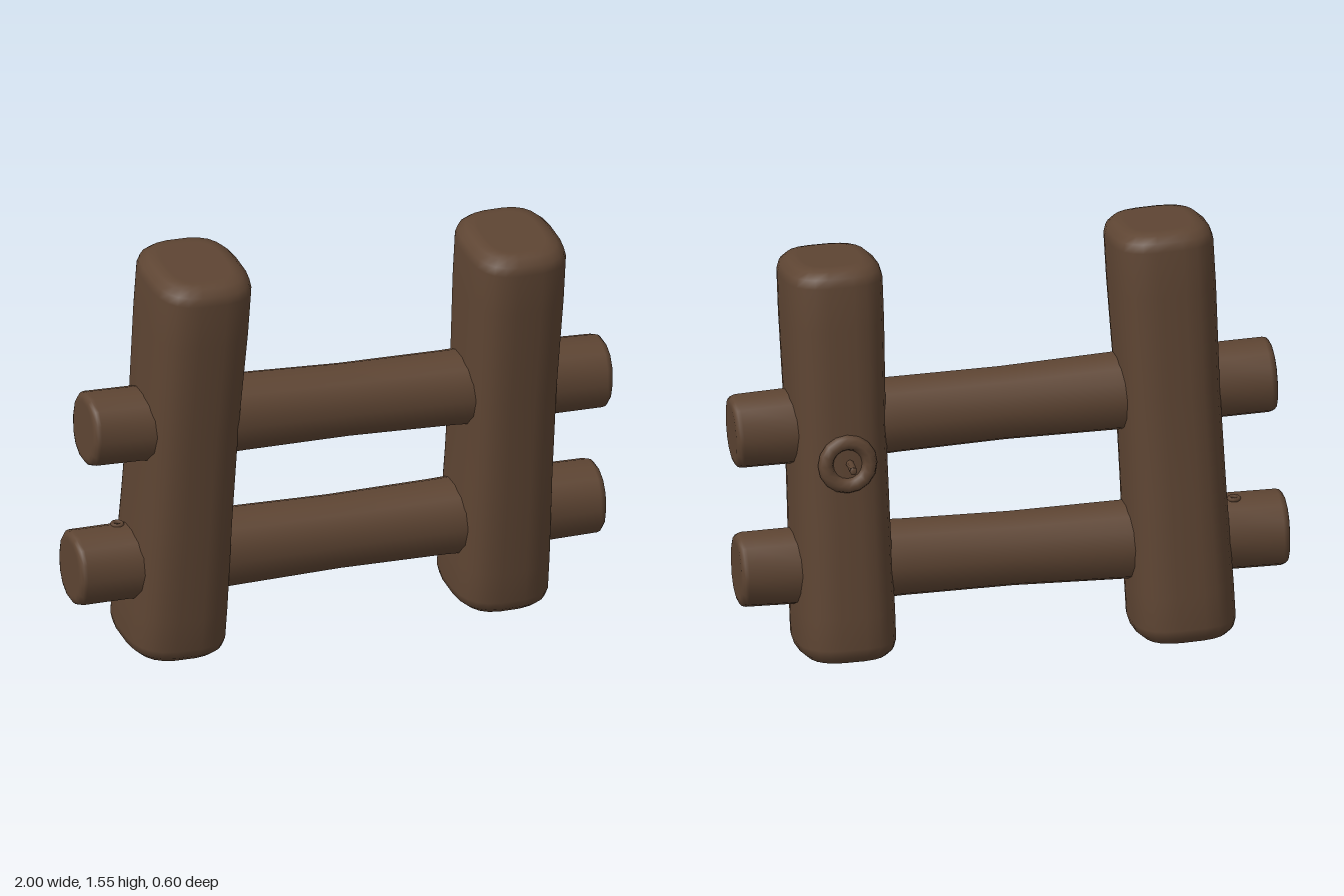
import * as THREE from 'three';

const wood = new THREE.MeshStandardMaterial({ color: 0x5e4533 });
wood.name = 'brown wood';

// Rounded beam from point a to point b. stations: [distance along 0..1, width scale]
function beam(name, a, b, halfX, halfZ, power, sides, bevel, stations) {
  const from = new THREE.Vector3(...a), axis = new THREE.Vector3(...b).sub(from);
  const length = axis.length();
  const loops = [];
  const arc = [0, 0.3, 0.65, 1].map(t => t * Math.PI / 2);
  const [s0, s1] = [stations[0][1], stations[stations.length - 1][1]];
  const end = (q, s) => [s * halfX - bevel * (1 - Math.sin(q)), s * halfZ - bevel * (1 - Math.sin(q))];
  // flat inner ring, then the rounded rim
  loops.push([0, ...end(0, s0).map(v => v * 0.9)]);
  for (const q of arc) loops.push([bevel * (1 - Math.cos(q)), ...end(q, s0)]);
  for (const [t, s] of stations.slice(1, -1)) loops.push([t * length, halfX * s, halfZ * s]);
  for (const q of [...arc].reverse()) loops.push([length - bevel * (1 - Math.cos(q)), ...end(q, s1)]);
  loops.push([length, ...end(0, s1).map(v => v * 0.9)]);

  const pos = [], index = [];
  const bend = c => Math.sign(c) * Math.pow(Math.abs(c), 2 / power);
  for (const [y, hx, hz] of loops) {
    for (let i = 0; i < sides; i++) {
      const q = (i + 0.5) / sides * Math.PI * 2;
      pos.push(hx * bend(Math.cos(q)), y, hz * bend(Math.sin(q)));
    }
  }
  for (let j = 0; j < loops.length - 1; j++) {
    for (let i = 0; i < sides; i++) {
      const k = (i + 1) % sides, p = j * sides, n = p + sides;
      index.push(p + i, n + i, p + k, p + k, n + i, n + k);
    }
  }
  // end caps
  const bottom = pos.length / 3, top = bottom + 1, last = (loops.length - 1) * sides;
  pos.push(0, 0, 0, 0, length, 0);
  for (let i = 0; i < sides; i++) {
    const k = (i + 1) % sides;
    index.push(bottom, i, k, top, last + k, last + i);
  }
  const geo = new THREE.BufferGeometry();
  geo.setAttribute('position', new THREE.Float32BufferAttribute(pos, 3));
  geo.setIndex(index);
  geo.computeVertexNormals();
  const mesh = new THREE.Mesh(geo, wood);
  mesh.name = name;
  mesh.position.copy(from);
  mesh.quaternion.setFromUnitVectors(new THREE.Vector3(0, 1, 0), axis.normalize());
  return mesh;
}

export function createModel() {
  const model = new THREE.Group();
  model.name = 'fence';

  // Leaning posts
  const postShape = [[0, 1], [0.12, 1], [0.35, 0.97], [0.6, 0.96], [0.85, 1], [1, 1]];
  model.add(
    beam('rightPost', [-0.62, 0.01, -0.065], [-0.555, 1.53, 0.045], 0.185, 0.218, 3, 24, 0.06, postShape),
    beam('leftPost', [0.597, 0.01, -0.025], [0.627, 1.465, 0.09], 0.178, 0.213, 3, 24, 0.06, postShape)
  );

  // Rails, swelling a little where they enter the posts
  const railShape = [[0, 1], [0.1, 1], [0.2, 1.08], [0.3, 1.03], [0.5, 0.97], [0.7, 1], [0.8, 1.06], [0.9, 1], [1, 0.98]];
  model.add(
    beam('upperRail', [-0.965, 0.925, 0.01], [0.988, 0.84, 0.055], 0.133, 0.13, 2.25, 14, 0.025, railShape),
    beam('lowerRail', [-1, 0.36, -0.035], [0.978, 0.33, 0.015], 0.135, 0.132, 2.25, 14, 0.025, railShape)
  );

  // Knot with a broken twig on the back of the left post
  const knot = new THREE.Group();
  knot.name = 'knot';
  knot.position.set(0.613, 0.77, -0.168);
  knot.rotation.x = 0.078;
  const ring = new THREE.Mesh(new THREE.TorusGeometry(0.08, 0.028, 8, 16), wood);
  ring.name = 'knotRing';
  const path = new THREE.CatmullRomCurve3([
    new THREE.Vector3(-0.01, 0, 0.03), new THREE.Vector3(-0.004, 0.004, -0.05), new THREE.Vector3(0.006, 0.01, -0.13)]);
  const twig = new THREE.Mesh(new THREE.TubeGeometry(path, 6, 0.014, 7), wood);
  twig.name = 'twig';
  const tip = new THREE.Mesh(new THREE.SphereGeometry(0.014, 7, 5), wood);
  tip.name = 'twigTip';
  tip.scale.z = 0.3;
  tip.position.set(0.006, 0.01, -0.13);
  knot.add(ring, twig, tip);
  model.add(knot);

  // Small knot above the lower rail on the right post
  const smallKnot = new THREE.Mesh(new THREE.TorusGeometry(0.018, 0.008, 6, 10), wood);
  smallKnot.name = 'smallKnot';
  smallKnot.position.set(-0.81, 0.49, -0.06);
  smallKnot.rotation.x = Math.PI / 2;
  model.add(smallKnot);

  return model;
}
